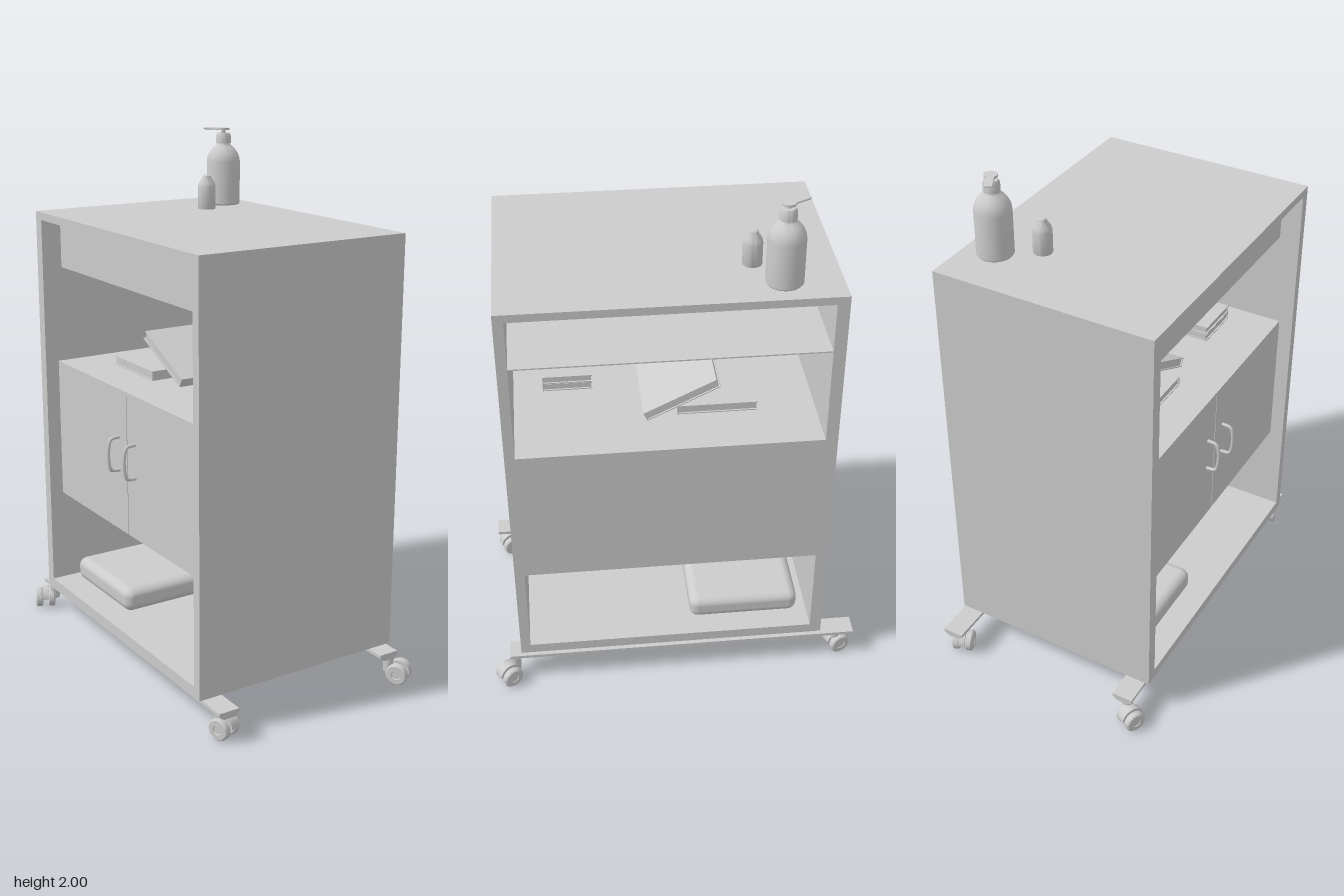
import * as THREE from 'three';
import { RoundedBoxGeometry } from 'three/addons/geometries/RoundedBoxGeometry.js';
import { toCreasedNormals } from 'three/addons/utils/BufferGeometryUtils.js';

const grey = new THREE.MeshStandardMaterial({ color: 0xcccccc, side: THREE.DoubleSide });

export function createModel() {
  const model = new THREE.Group();

  const add = (name, geometry, x = 0, y = 0, z = 0, parent = model) => {
    const mesh = new THREE.Mesh(geometry, grey);
    mesh.name = name;
    mesh.position.set(x, y, z);
    parent.add(mesh);
    return mesh;
  };
  // Box given by its limits on each axis
  const slab = (name, x0, x1, y0, y1, z0, z1) =>
    add(name, new THREE.BoxGeometry(x1 - x0, y1 - y0, z1 - z0),
      (x0 + x1) / 2, (y0 + y1) / 2, (z0 + z1) / 2);
  const lathe = (points, segments = 32) => toCreasedNormals(
    new THREE.LatheGeometry(points.map(([r, y]) => new THREE.Vector2(r, y)), segments), 0.6);

  // Outer case: a rectangular frame, open on both sides
  const X0 = -0.44, X1 = 0.407, Z0 = -0.53, Z1 = 0.578;
  const outline = new THREE.Shape();
  outline.moveTo(-0.615, 0.14).lineTo(0.575, 0.14).lineTo(0.575, 1.7).lineTo(-0.615, 1.7).closePath();
  const opening = new THREE.Path();
  opening.moveTo(-Z1, 0.18).lineTo(-Z1, 1.67).lineTo(-Z0, 1.67).lineTo(-Z0, 0.18).closePath();
  outline.holes.push(opening);
  const frame = new THREE.ExtrudeGeometry(outline, { depth: X1 - X0, bevelEnabled: false });
  frame.rotateY(Math.PI / 2);
  add('case', frame, X0);

  // Upper tray with its face set back from the left opening
  slab('trayFloor', -0.36, X1, 1.48, 1.485, Z0, Z1);
  slab('trayFace', -0.36, -0.34, 1.48, 1.67, Z0, Z1);

  // Closed cupboard in the middle
  slab('cupboardTop', -0.385, X1, 1.09, 1.105, Z0, Z1);
  slab('cupboardBottom', -0.37, X1, 0.55, 0.565, Z0, Z1);
  slab('cupboardBack', 0.38, X1, 0.55, 1.105, Z0, Z1);
  const middle = (Z0 + Z1) / 2;
  slab('door', -0.385, -0.365, 0.55, 1.09, Z0, middle - 0.002);
  slab('door', -0.385, -0.365, 0.55, 1.09, middle + 0.002, Z1);
  for (const side of [-1, 1]) {
    const curve = new THREE.CatmullRomCurve3(
      [[0, 0.79], [-0.035, 0.795], [-0.045, 0.82], [-0.045, 0.89], [-0.035, 0.915], [0, 0.92]]
        .map(([x, y]) => new THREE.Vector3(x, y, 0)));
    add('doorHandle', new THREE.TubeGeometry(curve, 32, 0.007, 8), -0.385, 0, middle + side * 0.06);
  }

  // Books on the cupboard
  const book = (name, x, y, z, w, h, d, tilt = 0) => {
    const group = new THREE.Group();
    group.name = name;
    group.position.set(x, y, z);
    group.rotation.x = tilt;
    model.add(group);
    const cover = 0.004;
    for (const s of [-1, 1])
      add('cover', new THREE.BoxGeometry(w, cover, d), 0, s * (h - cover) / 2, 0, group);
    add('pages', new THREE.BoxGeometry(w - 0.012, h - 2 * cover, d - 0.008), 0, 0, 0, group);
    add('spine', new THREE.BoxGeometry(w, h, cover), 0, 0, d / 2 - cover / 2, group);
  };
  book('stackedBook', -0.09, 1.138, 0.375, 0.24, 0.03, 0.185);
  book('stackedBook', -0.09, 1.169, 0.375, 0.24, 0.03, 0.185);
  book('flatBook', -0.015, 1.137, -0.165, 0.47, 0.036, 0.295);
  book('leaningBook', 0.02, 1.195, -0.03, 0.44, 0.036, 0.295, 0.46);

  // Cushion on the lowest shelf, thinning towards its corners
  const cushion = new RoundedBoxGeometry(0.68, 0.1, 0.43, 8, 0.035);
  const p = cushion.attributes.position;
  for (let i = 0; i < p.count; i++) {
    const corner = Math.abs(p.getX(i) / 0.34) * Math.abs(p.getZ(i) / 0.215);
    if (p.getY(i) > 0) p.setY(i, p.getY(i) * (1 - 0.25 * corner ** 3));
  }
  cushion.computeVertexNormals();
  add('cushion', cushion, -0.01, 0.23, -0.275);

  // Pump bottle
  const pump = new THREE.Group();
  pump.name = 'pumpBottle';
  pump.position.set(0.29, 1.7, -0.37);
  model.add(pump);
  add('bottleBody', lathe([[0, 0], [0.062, 0], [0.066, 0.005], [0.066, 0.17], [0.063, 0.188],
    [0.055, 0.205], [0.042, 0.222], [0.028, 0.233], [0.024, 0.245], [0, 0.245]]), 0, 0, 0, pump);
  add('pumpCollar', lathe([[0, 0.24], [0.03, 0.24], [0.03, 0.268], [0.024, 0.28], [0, 0.28]]), 0, 0, 0, pump);
  add('pumpStem', new THREE.CylinderGeometry(0.009, 0.009, 0.02, 16), 0, 0.286, 0, pump);
  add('pumpHead', new THREE.CylinderGeometry(0.024, 0.024, 0.008, 24), 0, 0.295, 0, pump);
  const nozzle = add('pumpNozzle', new RoundedBoxGeometry(0.03, 0.008, 0.085, 3, 0.004), -0.02, 0.295, -0.036, pump);
  nozzle.rotation.y = 0.5;

  // Small capped bottle
  add('smallBottle', lathe([[0, 0], [0.034, 0], [0.035, 0.003], [0.035, 0.085], [0.032, 0.098],
    [0.019, 0.118], [0.016, 0.128], [0.012, 0.131], [0, 0.131]]), 0.155, 1.7, -0.28);

  // Base rails, offset lengthwise from one another
  const rail = (name, x, z0, z1) => {
    const s = new THREE.Shape();
    s.moveTo(-0.022, 0.098).lineTo(0.022, 0.098).lineTo(0.041, 0.112).lineTo(0.041, 0.125)
      .lineTo(-0.041, 0.125).lineTo(-0.041, 0.112).closePath();
    add(name, new THREE.ExtrudeGeometry(s, { depth: z1 - z0, bevelEnabled: false }), x, 0, z0);
  };
  rail('rightRail', -0.376, -0.667, 0.705);
  rail('leftRail', 0.369, -0.71, 0.66);

  // Mounting pads between rails and case
  for (const x of [-0.376, 0.369])
    for (const z of [-0.45, 0.45]) slab('railPad', x - 0.02, x + 0.02, 0.12, 0.145, z - 0.03, z + 0.03);

  // Twin-wheel casters, each swivelled its own way
  const caster = (x, z, turn, stemX, stemZ) => {
    const group = new THREE.Group();
    group.name = 'caster';
    group.position.set(x, 0.045, z);
    group.rotation.y = turn;
    model.add(group);
    const wheel = lathe([[0, -0.014], [0.036, -0.014], [0.041, -0.009], [0.041, 0.009],
      [0.036, 0.014], [0.018, 0.014], [0.016, 0.011], [0, 0.011]], 24);
    for (const s of [-1, 1]) {
      const w = add('wheel', wheel, s * 0.026, -0.004, 0, group);
      w.rotation.z = -s * Math.PI / 2;
    }
    add('axle', new THREE.CylinderGeometry(0.01, 0.01, 0.06, 12).rotateZ(Math.PI / 2), 0, -0.004, 0, group);
    // Hood over the wheels
    add('hood', new THREE.CylinderGeometry(0.045, 0.045, 0.026, 24, 1, false, 0, Math.PI)
      .rotateZ(Math.PI / 2), 0, 0, 0, group);
    add('swivelStem', new THREE.CylinderGeometry(0.02, 0.02, 0.06, 16), stemX, 0.075, stemZ);
  };
  caster(-0.415, -0.668, -0.45, -0.385, -0.64);
  caster(0.415, 0.668, 0.55, 0.385, 0.64);
  caster(0.36, -0.655, 0.35, 0.37, -0.645);
  caster(-0.365, 0.655, 0.35, -0.375, 0.645);

  return model;
}
